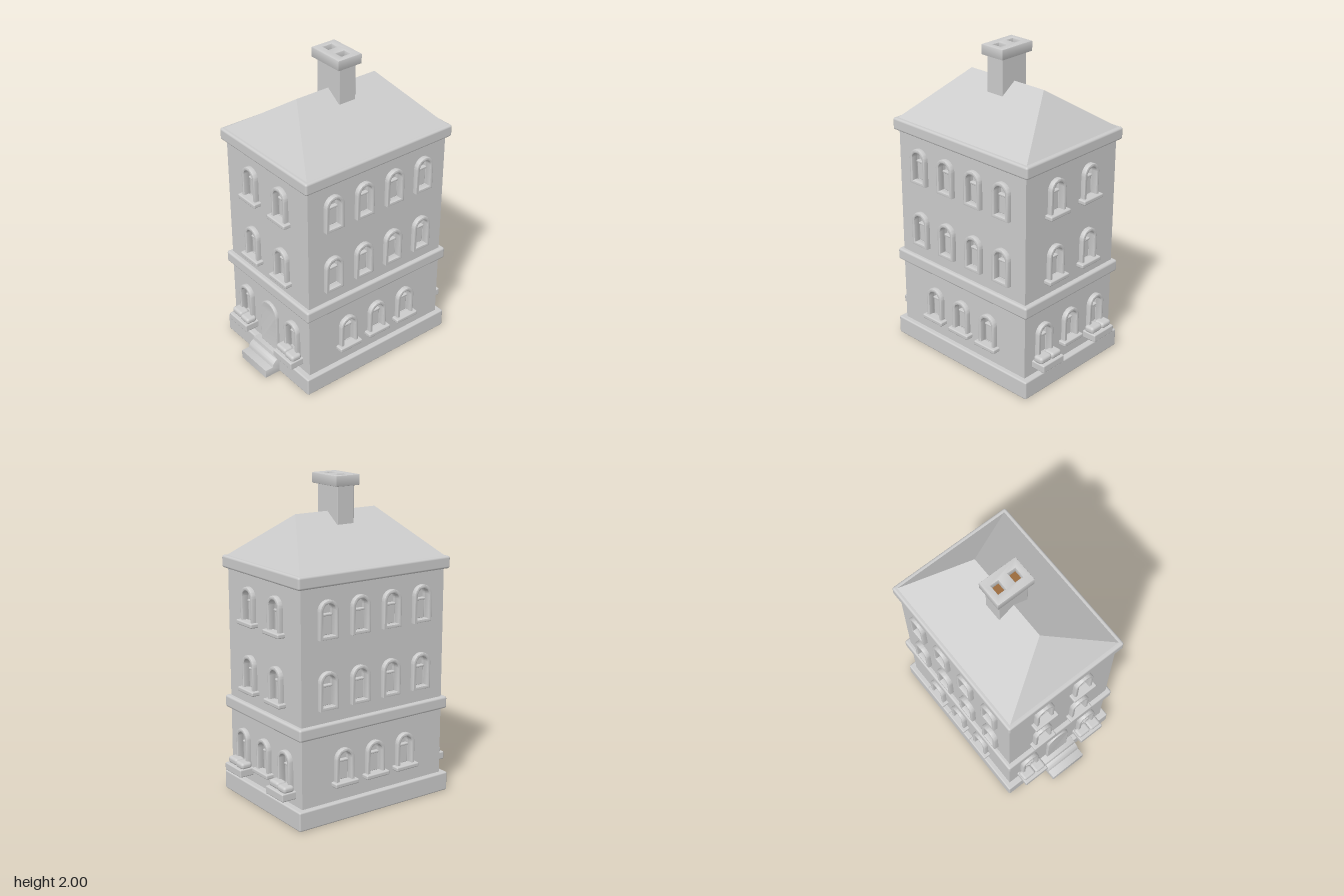
import * as THREE from 'three';
import { RoundedBoxGeometry } from 'three/addons/geometries/RoundedBoxGeometry.js';
import { toCreasedNormals } from 'three/addons/utils/BufferGeometryUtils.js';

const grey = new THREE.MeshStandardMaterial({ color: 0xcccccc });
const brown = new THREE.MeshStandardMaterial({ color: 0x9a6a3c });
const HALF_X = 0.392, HALF_Z = 0.52, CENTRE_Z = -0.025;
const WALL_BOTTOM = 0.1, WALL_TOP = 1.45, WALL_THICK = 0.05;

function add(parent, name, geometry, x = 0, y = 0, z = 0, material = grey) {
  const mesh = new THREE.Mesh(geometry, material);
  mesh.name = name;
  mesh.position.set(x, y, z);
  parent.add(mesh);
  return mesh;
}

function box(w, h, d, r = 0.008) {
  return new RoundedBoxGeometry(w, h, d, 2, r);
}

// Round-topped outline of width w and height h, standing on (x, y)
function arch(w, h, x = 0, y = 0, Type = THREE.Shape) {
  const r = w / 2, p = new Type();
  p.moveTo(x - r, y);
  p.lineTo(x + r, y);
  p.lineTo(x + r, y + h - r);
  p.absarc(x, y + h - r, r, 0, Math.PI, false);
  p.closePath();
  return p;
}

// Extrusion with optional rounded edges that stay inside the outline
function extrude(shape, depth, bevel = 0) {
  const g = new THREE.ExtrudeGeometry(shape, {
    depth: depth - 2 * bevel, curveSegments: 14, bevelEnabled: bevel > 0,
    bevelSize: bevel, bevelThickness: bevel, bevelOffset: -bevel, bevelSegments: 2,
  });
  g.translate(0, 0, bevel);
  return toCreasedNormals(g, 0.7);
}

function archRing(w, h, t, bottom, depth) {
  const s = arch(w, h);
  s.holes.push(arch(w - 2 * t, h - t - bottom, 0, bottom, THREE.Path));
  return extrude(s, depth, 0.006);
}

// Local +z points out of the wall; z = 0 is the wall surface
function makeWindow({ x, y, h, sill, planter }) {
  const g = new THREE.Group();
  g.name = 'window';
  g.position.set(x, y, 0);
  add(g, 'windowFrame', archRing(0.13, h, 0.022, 0.02, 0.045), 0, 0, -0.015);
  add(g, 'windowPane', extrude(arch(0.1, h - 0.03), 0.01), 0, 0.01, -0.045);
  // sliding lower sash
  add(g, 'lowerSash', box(0.088, 0.115, 0.02, 0.004), 0, 0.075, -0.026);
  add(g, 'sashRail', box(0.088, 0.014, 0.028, 0.005), 0, 0.137, -0.02);
  if (sill) add(g, 'windowSill', box(0.17, 0.028, 0.06), 0, 0.009, 0.02);
  if (planter) {
    const base = 0.165 - y;
    add(g, 'planterBox', box(0.183, 0.05, 0.105), 0, base + 0.025, 0.0425);
    add(g, 'plantLeft', box(0.095, 0.045, 0.07, 0.018), -0.042, base + 0.067, 0.04);
    add(g, 'plantRight', box(0.085, 0.042, 0.075, 0.018), 0.045, base + 0.065, 0.042);
  }
  return g;
}

function makeDoor() {
  const g = new THREE.Group();
  g.name = 'door';
  g.position.y = 0.12;
  add(g, 'doorFrame', archRing(0.166, 0.33, 0.014, 0.002, 0.035), 0, 0, -0.015);
  add(g, 'doorLeaf', extrude(arch(0.145, 0.32), 0.03), 0, 0, -0.025);
  for (const side of [-1, 1]) {
    for (const y of [0.06, 0.132, 0.204]) {
      add(g, 'doorPanel', box(0.05, 0.056, 0.016, 0.006), side * 0.032, y, 0.004);
    }
  }
  const fan = new THREE.Shape();
  fan.absarc(0, 0, 0.057, 0, Math.PI, false);
  fan.closePath();
  add(g, 'doorFanlight', extrude(fan, 0.014, 0.004), 0, 0.247, -0.002);
  add(g, 'doorKnob', new THREE.SphereGeometry(0.007, 12, 8), 0.064, 0.13, 0.012);
  return g;
}

// A wall with real openings and its windows
function makeWall(name, width, windows, hasDoor) {
  const g = new THREE.Group();
  g.name = name;
  const s = new THREE.Shape();
  s.moveTo(-width / 2, WALL_BOTTOM);
  s.lineTo(width / 2, WALL_BOTTOM);
  s.lineTo(width / 2, WALL_TOP);
  s.lineTo(-width / 2, WALL_TOP);
  s.closePath();
  for (const w of windows) {
    s.holes.push(arch(0.092, w.h - 0.035, w.x, w.y + 0.016, THREE.Path));
    g.add(makeWindow(w));
  }
  add(g, 'wall', extrude(s, WALL_THICK), 0, 0, -WALL_THICK);
  if (hasDoor) g.add(makeDoor());
  return g;
}

function makeRoof() {
  const x = 0.402, z = 0.53, r = 0.29, y0 = 1.5, y1 = 1.78;
  const a = [-x, y0, z], b = [x, y0, z], c = [x, y0, -z], d = [-x, y0, -z];
  const f = [0, y1, r], k = [0, y1, -r];
  const faces = [a, b, f, b, c, k, b, k, f, c, d, k, d, a, f, d, f, k, a, d, c, a, c, b];
  const g = new THREE.BufferGeometry();
  g.setAttribute('position', new THREE.Float32BufferAttribute(faces.flat(), 3));
  g.computeVertexNormals();
  return g;
}

function makeChimney() {
  const g = new THREE.Group();
  g.name = 'chimney';
  add(g, 'chimneyStack', box(0.204, 0.25, 0.122, 0.005), 0, 1.825, 0);
  const rect = (p, cx, w, d) => {
    p.moveTo(cx - w, -d);
    p.lineTo(cx + w, -d);
    p.lineTo(cx + w, d);
    p.lineTo(cx - w, d);
    p.closePath();
    return p;
  };
  const cap = rect(new THREE.Shape(), 0, 0.125, 0.084);
  for (const side of [-1, 1]) {
    cap.holes.push(rect(new THREE.Path(), side * 0.058, 0.026, 0.032));
    add(g, 'flue', new THREE.BoxGeometry(0.064, 0.01, 0.076), side * 0.058, 1.949, 0, brown);
  }
  add(g, 'chimneyCap', extrude(cap, 0.065, 0.006), 0, 1.935, 0).rotation.x = -Math.PI / 2;
  return g;
}

export function createModel() {
  const root = new THREE.Group();
  root.name = 'townHouse';
  const house = new THREE.Group();
  house.name = 'house';
  house.position.z = CENTRE_Z;
  root.add(house);

  // Window layouts
  const storeys = [0.703, 1.123];
  const upper = (xs, sill) => storeys.flatMap(y => xs.map(x => ({ x, y, h: 0.23, sill })));
  const planters = [-0.235, 0.235].map(x => ({ x, y: 0.21, h: 0.235, planter: true }));
  const ends = [...upper([-0.145, 0.145], true), ...planters];
  const sides = [
    ...upper([-0.342, -0.114, 0.114, 0.342], false),
    ...[-0.228, 0, 0.228].map(x => ({ x, y: 0.222, h: 0.223, sill: true })),
  ];

  // Four walls
  const front = makeWall('frontWall', HALF_X * 2, ends, true);
  front.position.z = HALF_Z;
  const rear = [...ends, { x: 0, y: 0.222, h: 0.223, sill: true }];
  const back = makeWall('backWall', HALF_X * 2, rear, false);
  back.position.z = -HALF_Z;
  back.rotation.y = Math.PI;
  house.add(front, back);
  for (const s of [-1, 1]) {
    const wall = makeWall(s > 0 ? 'leftWall' : 'rightWall', 2 * (HALF_Z - WALL_THICK), sides, false);
    wall.position.x = s * HALF_X;
    wall.rotation.y = s * Math.PI / 2;
    house.add(wall);
  }

  // Plinth, belt course, cornice, roof and chimney
  add(house, 'plinth', box(0.85, 0.12, 1.12, 0.01), 0, 0.06, 0);
  add(house, 'beltCourse', box(0.838, 0.077, 1.1, 0.014), 0, 0.582, 0);
  add(house, 'cornice', box(0.838, 0.077, 1.1, 0.014), 0, 1.467, 0);
  add(house, 'roof', makeRoof());
  house.add(makeChimney());

  // Front steps: side profile drawn as (z, y), swept across x
  const p = new THREE.Shape();
  p.moveTo(0.48, 0);
  p.lineTo(0.64, 0);
  p.lineTo(0.64, 0.056);
  p.lineTo(0.587, 0.056);
  p.quadraticCurveTo(0.582, 0.09, 0.55, 0.1);
  p.lineTo(0.545, 0.122);
  p.lineTo(0.48, 0.122);
  p.closePath();
  const steps = add(root, 'frontSteps', extrude(p, 0.26, 0.004), 0.13, 0, 0);
  steps.rotation.y = -Math.PI / 2;
  return root;
}
